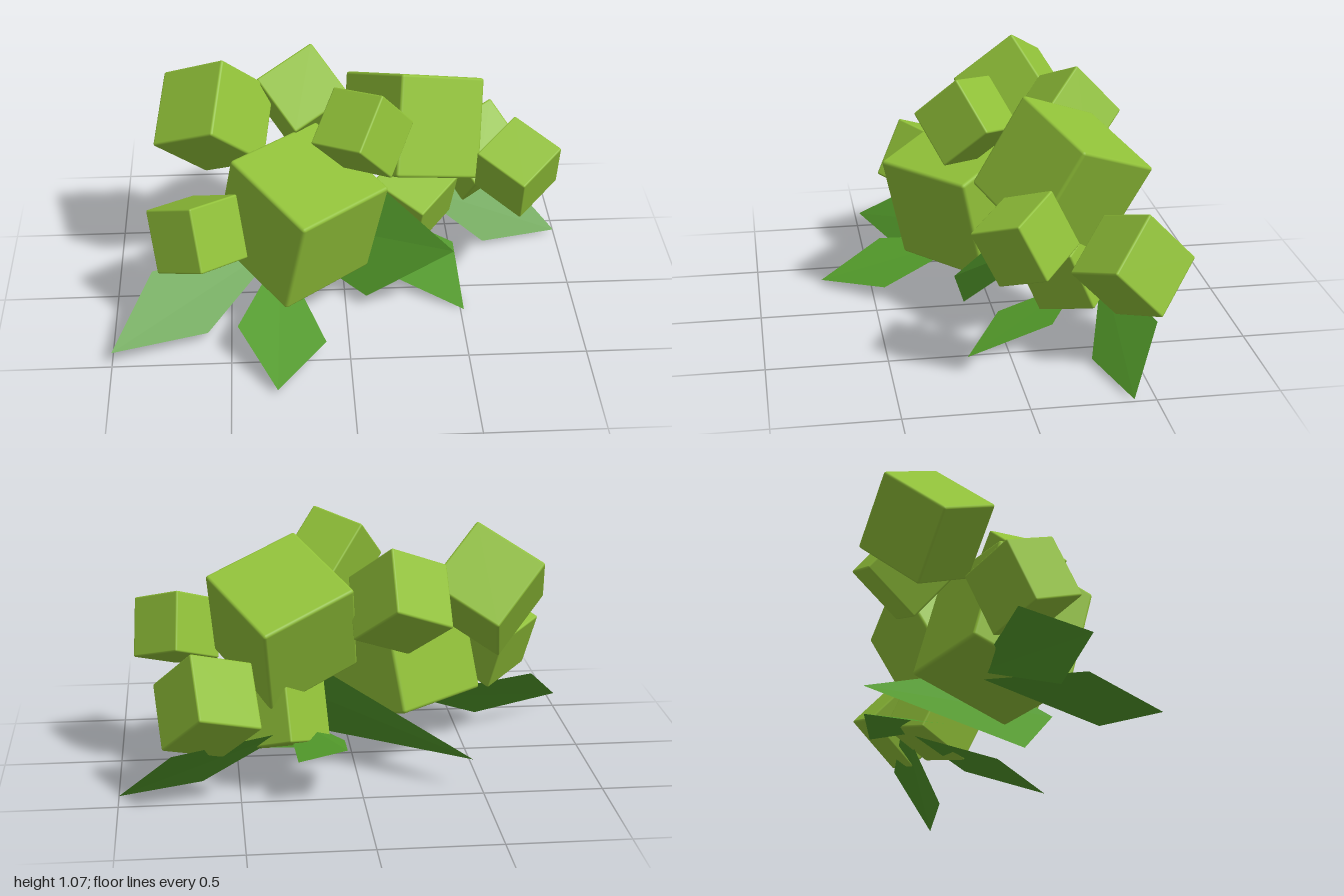
import * as THREE from 'three';
import { RoundedBoxGeometry } from 'three/addons/geometries/RoundedBoxGeometry.js';

const foliageGreen = new THREE.MeshStandardMaterial({ color: 0x90c038 });
foliageGreen.name = 'foliageGreen';
const leafGreen = new THREE.MeshStandardMaterial({ color: 0x52992a, side: THREE.DoubleSide });
leafGreen.name = 'leafGreen';

// Softly bevelled cube, turned so two of its edges follow the given directions
function cube(name, size, centre, edgeA, edgeB) {
  const mesh = new THREE.Mesh(new RoundedBoxGeometry(size, size, size, 2, size * 0.03), foliageGreen);
  const x = new THREE.Vector3(...edgeA).normalize();
  const z = new THREE.Vector3().crossVectors(x, new THREE.Vector3(...edgeB)).normalize();
  const y = new THREE.Vector3().crossVectors(z, x);
  mesh.quaternion.setFromRotationMatrix(new THREE.Matrix4().makeBasis(x, y, z));
  mesh.position.set(...centre);
  mesh.name = name;
  return mesh;
}

// Kite-shaped leaf, two flat halves meeting on the midrib
function leaf(name, tip, sideA, sideB, base) {
  const geo = new THREE.BufferGeometry();
  const points = [tip, sideA, base, tip, base, sideB].flat();
  geo.setAttribute('position', new THREE.Float32BufferAttribute(points, 3));
  geo.computeVertexNormals();
  // keep the front of each leaf facing up
  if (geo.attributes.normal.getY(0) < 0) {
    geo.setAttribute('position', new THREE.Float32BufferAttribute([tip, base, sideA, tip, sideB, base].flat(), 3));
    geo.computeVertexNormals();
  }
  const mesh = new THREE.Mesh(geo, leafGreen);
  mesh.name = name;
  return mesh;
}

export function createModel() {
  const model = new THREE.Group();
  model.name = 'bush';

  // Tumbled foliage blocks: name, size, centre, two edge directions
  const cubes = [
    ['frontLargeBlock', 0.48, [-0.19, 0.46, 0.07], [-0.08, -0.46, -0.10], [-0.30, 0.12, -0.36]],
    ['backLargeBlock', 0.435, [0.31, 0.70, -0.25], [0.37, -0.13, -0.18], [-0.22, -0.16, -0.33]],
    ['rightTopBlock', 0.34, [-0.55, 0.795, -0.20], [-0.05, -0.205, 0.25], [-0.25, -0.13, -0.18]],
    ['frontTopBlock', 0.26, [0.07, 0.88, 0.11], [0.10, 0.165, -0.16], [-0.185, -0.04, -0.17]],
    ['backTopBlock', 0.29, [-0.165, 0.795, -0.35], [-0.235, -0.105, 0.115], [-0.01, -0.215, -0.195]],
    ['rightLowBlock', 0.275, [-0.63, 0.46, 0.20], [-0.04, 0.245, -0.11], [0.19, -0.06, -0.185]],
    ['leftSmallBlock', 0.255, [0.745, 0.61, -0.02], [0.01, -0.22, -0.11], [-0.175, 0.065, -0.16]],
    ['leftLowBlock', 0.295, [0.63, 0.42, -0.48], [-0.03, -0.21, -0.20], [0.15, -0.18, 0.16]],
    ['backLowBlock', 0.275, [0.32, 0.31, -0.28], [-0.02, -0.25, -0.11], [0.17, 0.07, -0.19]],
  ];
  for (const c of cubes) model.add(cube(...c));

  // Ground leaves: name, tip, two side corners, base
  const leaves = [
    ['rightLeaf', [-1, 0.07, 0.49], [-0.83, 0.275, 0.20], [-0.60, 0.045, 0.34], [-0.25, 0.27, -0.03]],
    ['frontLeaf', [-0.31, 0.03, 0.72], [-0.47, 0.15, 0.44], [-0.10, 0.067, 0.455], [-0.28, 0.22, 0]],
    ['longCentreLeaf', [0.455, 0.345, 0.22], [0.18, 0.46, -0.10], [0.09, 0.06, 0.13], [-0.46, 0.14, -0.46]],
    ['frontLeftLeaf', [0.515, 0.005, 0.175], [0.22, 0.065, 0], [0.50, 0.12, -0.18], [0.20, 0.18, -0.36]],
    ['leftLeaf', [1, 0.015, -0.41], [0.655, 0.028, -0.315], [0.78, 0.235, -0.55], [0.30, 0.28, -0.43]],
    ['backLeaf', [0.07, 0.24, -0.56], [0.27, 0.20, -0.57], [0.06, 0.19, -0.32], [0.30, 0.26, -0.15]],
  ];
  for (const l of leaves) model.add(leaf(...l));

  return model;
}
